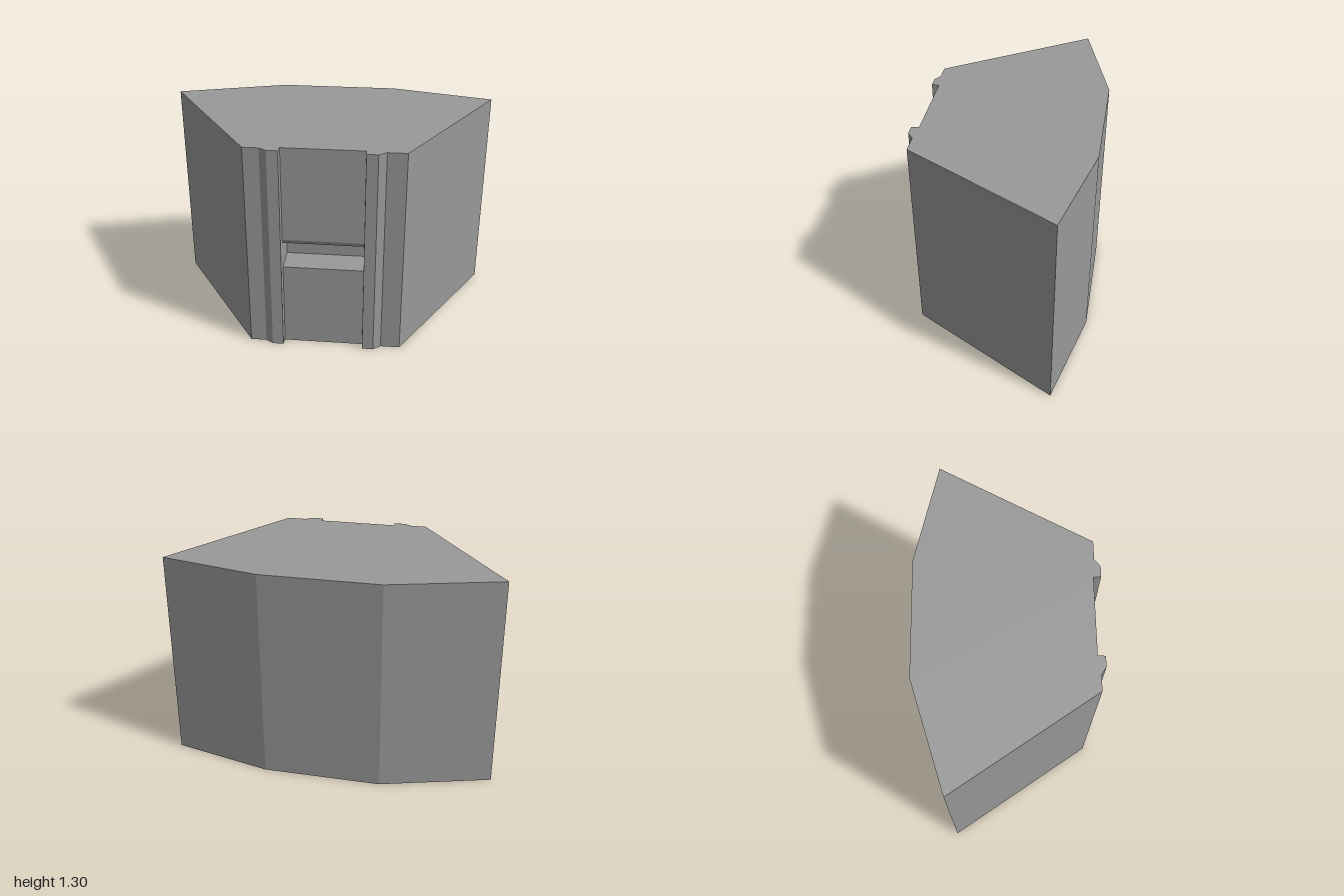
import * as THREE from 'three';

const HEIGHT = 1.3;
const LEFT = -0.22, RIGHT = 0.26; // sides of the front recess

// Plan outline (x, z), from the right edge of the recess round the back to its left edge
const PLAN = [
  [RIGHT, 0.5], [0.263, 0.545], [0.33, 0.545], [0.375, 0.51], [0.49, 0.51],
  [1, -0.395], [0.38, -0.545], [-0.34, -0.545], [-1, -0.35],
  [-0.43, 0.515], [-0.335, 0.515], [-0.29, 0.545], [-0.224, 0.545], [LEFT, 0.5],
];

// Recess profile (z, y), from the base up, with the deep slot half way
const PROFILE = [
  [0.5, 0], [0.5, 0.53], [0.33, 0.53], [0.33, 0.69], [0.49, 0.69], [0.5, 0.715], [0.5, HEIGHT],
];

// Flat-sided strip: a path of points swept along one offset
function sweep(path, offset) {
  const pos = [];
  for (let i = 0; i < path.length - 1; i++) {
    const a = path[i], b = path[i + 1];
    const c = b.clone().add(offset), d = a.clone().add(offset);
    for (const p of [a, b, c, a, c, d]) pos.push(p.x, p.y, p.z);
  }
  const geo = new THREE.BufferGeometry();
  geo.setAttribute('position', new THREE.Float32BufferAttribute(pos, 3));
  geo.computeVertexNormals();
  return geo;
}

const face = (points) => new THREE.ShapeGeometry(
  new THREE.Shape(points.map(([x, y]) => new THREE.Vector2(x, y))));

export function createModel() {
  const group = new THREE.Group();
  const stone = new THREE.MeshStandardMaterial({ color: 0x999999 });
  stone.name = 'grey stone';
  const add = (name, geo) => {
    const mesh = new THREE.Mesh(geo, stone);
    mesh.name = name;
    group.add(mesh);
  };

  // Outer walls with the two pilasters
  add('outerWalls', sweep(
    PLAN.map(([x, z]) => new THREE.Vector3(x, 0, z)), new THREE.Vector3(0, HEIGHT, 0)));

  // Recessed front panels with the slot between them
  add('frontPanelAndSlot', sweep(
    PROFILE.map(([z, y]) => new THREE.Vector3(RIGHT, y, z)), new THREE.Vector3(LEFT - RIGHT, 0, 0)));

  // Slot ends
  const slot = PROFILE.slice(1, 6);
  add('slotEndLeft', face(slot.map(([z, y]) => [z, y])).rotateY(-Math.PI / 2).translate(RIGHT, 0, 0));
  add('slotEndRight', face(slot.map(([z, y]) => [-z, y])).rotateY(Math.PI / 2).translate(LEFT, 0, 0));

  // Top and base
  add('top', face(PLAN.map(([x, z]) => [x, -z])).rotateX(-Math.PI / 2).translate(0, HEIGHT, 0));
  add('base', face(PLAN).rotateX(Math.PI / 2));

  return group;
}
